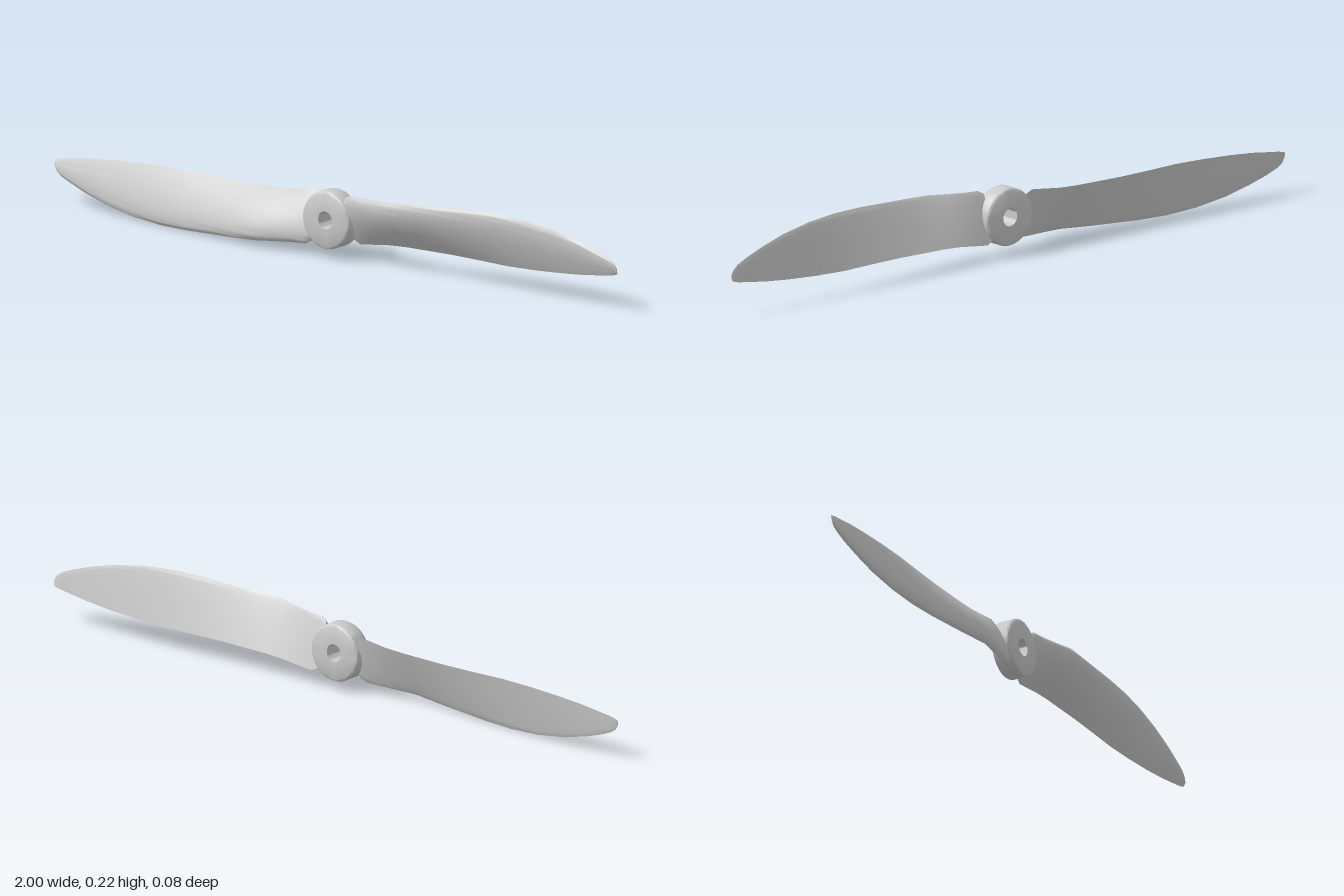
import * as THREE from 'three';
import { toCreasedNormals } from 'three/addons/utils/BufferGeometryUtils.js';

const grey = new THREE.MeshStandardMaterial({ color: 0xcccccc });

// Blade stations: x, trailing edge (y, z), leading edge (y, z), thickness.
// y is measured from the hub axis.
const STATIONS = [
  [0.060, -0.055, -0.036, 0.070, 0.002, 0.014],
  [0.080, -0.066, -0.039, 0.080, 0.006, 0.020],
  [0.120, -0.061, -0.040, 0.082, 0.010, 0.023],
  [0.180, -0.053, -0.040, 0.086, 0.021, 0.025],
  [0.240, -0.049, -0.040, 0.091, 0.032, 0.025],
  [0.320, -0.047, -0.040, 0.097, 0.025, 0.023],
  [0.400, -0.045, -0.040, 0.102, 0.018, 0.021],
  [0.500, -0.045, -0.040, 0.108, 0.010, 0.019],
  [0.600, -0.046, -0.040, 0.110, 0.002, 0.017],
  [0.700, -0.042, -0.039, 0.104, -0.006, 0.015],
  [0.800, -0.035, -0.038, 0.089, -0.014, 0.012],
  [0.880, -0.027, -0.036, 0.069, -0.020, 0.010],
  [0.940, -0.018, -0.035, 0.050, -0.025, 0.008],
  [0.975, -0.013, -0.034, 0.036, -0.027, 0.006],
  [0.992, -0.009, -0.034, 0.024, -0.029, 0.005],
  [1.000, -0.005, -0.033, 0.010, -0.030, 0.003],
];

// One airfoil ring: up the curved front face, back down the flatter rear face
function airfoil([x, ty, tz, ly, lz, t], n) {
  const dy = ly - ty, dz = lz - tz, len = Math.hypot(dy, dz);
  const ring = [];
  for (let j = 0; j < n; j++) {
    const a = (j / n) * Math.PI * 2;
    const s = (1 - Math.cos(a)) / 2;
    const shape = (Math.sqrt(1 - s) * s) / 0.385;
    const off = t * shape * (a <= Math.PI ? 1 : -0.12);
    ring.push(x, ty + dy * s - (dz / len) * off, tz + dz * s + (dy / len) * off);
  }
  return ring;
}

function bladeGeometry() {
  const n = 40;
  const positions = [], index = [];
  STATIONS.forEach((s) => positions.push(...airfoil(s, n)));
  const last = (STATIONS.length - 1) * n;
  for (let i = 0; i < last; i += n) {
    for (let j = 0; j < n; j++) {
      const k = (j + 1) % n;
      index.push(i + j, i + n + j, i + k, i + k, i + n + j, i + n + k);
    }
  }
  // root and tip caps
  for (let j = 1; j < n - 1; j++) {
    index.push(0, j, j + 1, last, last + j + 1, last + j);
  }
  const geo = new THREE.BufferGeometry();
  geo.setAttribute('position', new THREE.Float32BufferAttribute(positions, 3));
  geo.setIndex(index);
  return toCreasedNormals(geo, 0.9);
}

function hubGeometry() {
  // closed profile: radius, depth
  const profile = [
    [0.025, -0.04], [0.076, -0.04], [0.08, -0.038], [0.082, -0.034],
    [0.082, 0.011], [0.08, 0.015], [0.076, 0.017], [0.025, 0.017], [0.025, -0.04],
  ].map(([r, d]) => new THREE.Vector2(r, d));
  const geo = new THREE.LatheGeometry(profile, 48);
  geo.rotateX(Math.PI / 2);
  return toCreasedNormals(geo, 0.9);
}

export function createModel() {
  const propeller = new THREE.Group();
  propeller.name = 'propeller';

  const hub = new THREE.Mesh(hubGeometry(), grey);
  hub.name = 'hub';
  propeller.add(hub);

  // two identical blades, half a turn apart
  const blade = bladeGeometry();
  ['leftBlade', 'rightBlade'].forEach((name, i) => {
    const mesh = new THREE.Mesh(blade, grey);
    mesh.name = name;
    mesh.rotation.z = i * Math.PI;
    propeller.add(mesh);
  });

  propeller.position.y = 0.11;
  const model = new THREE.Group();
  model.add(propeller);
  return model;
}
